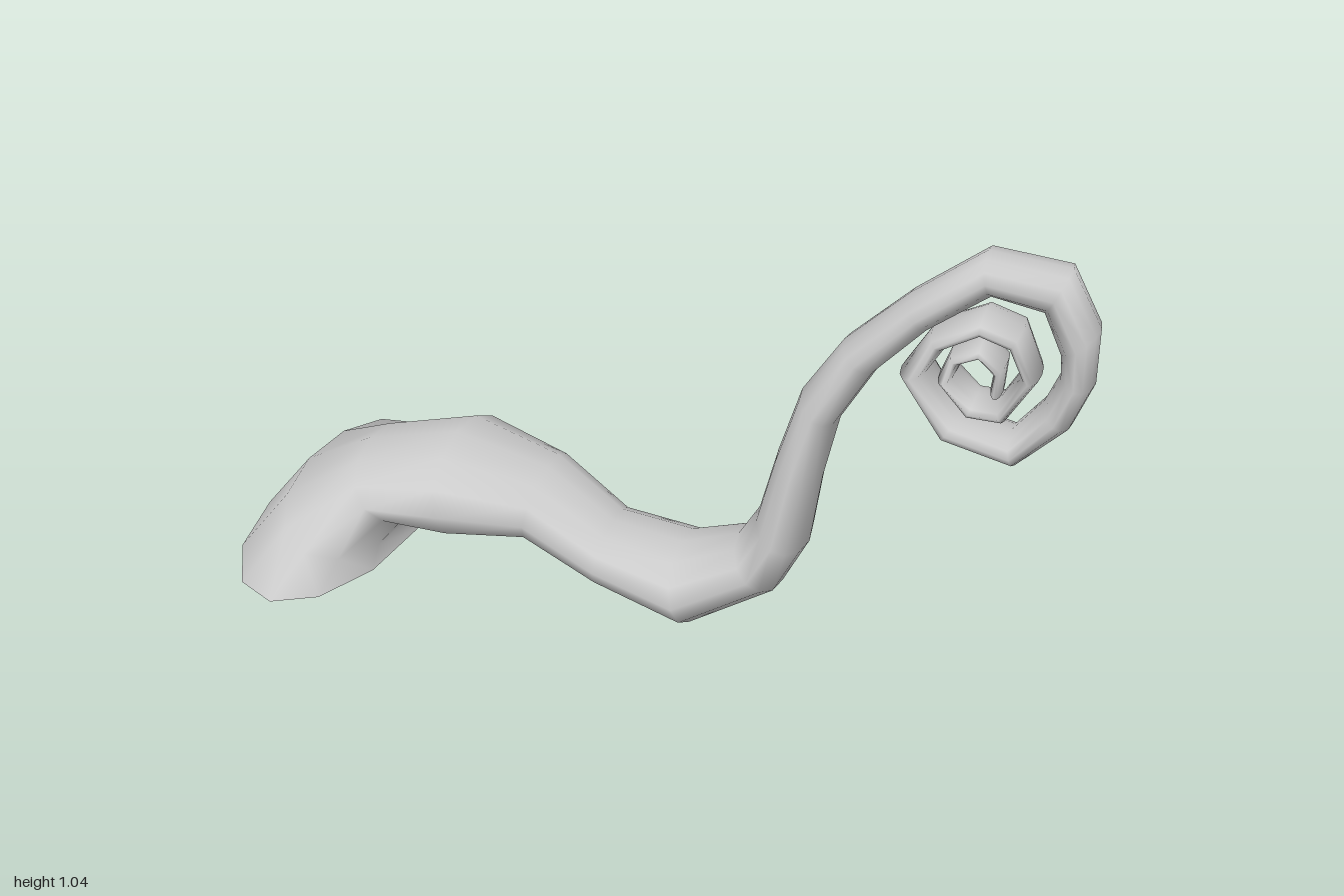
import * as THREE from 'three';

const SIDES = 12;

// Each section: outer edge x,y, inner edge x,y, half width in z
const stalk = [
  [-1.0, 0.08, -0.6, 0.08, 0.4],
  [-0.88, 0.23, -0.61, 0.12, 0.32],
  [-0.71, 0.32, -0.58, 0.16, 0.19],
  [-0.48, 0.38, -0.43, 0.157, 0.215],
  [-0.25, 0.325, -0.27, 0.167, 0.155],
  [-0.09, 0.21, -0.1, 0.07, 0.135],
  [0.08, 0.185, 0.13, 0.005, 0.158],
  [0.22, 0.235, 0.33, 0.13, 0.125],
  [0.27, 0.32, 0.39, 0.25, 0.125],
  [0.31, 0.48, 0.415, 0.43, 0.108],
  [0.36, 0.645, 0.45, 0.59, 0.095],
  [0.45, 0.785, 0.53, 0.73, 0.078],
];

// Curled tip: outer edge x,y, inner edge x,y
const curl = [
  [0.59, 0.92, 0.64, 0.85], [0.75, 1.045, 0.77, 0.95], [0.93, 1.03, 0.88, 0.93],
  [1.0, 0.9, 0.92, 0.84], [1.0, 0.77, 0.925, 0.785], [0.96, 0.665, 0.895, 0.71],
  [0.85, 0.555, 0.83, 0.625], [0.68, 0.595, 0.715, 0.65], [0.58, 0.74, 0.645, 0.755],
  [0.645, 0.85, 0.68, 0.815], [0.755, 0.905, 0.755, 0.86], [0.84, 0.88, 0.815, 0.84],
  [0.885, 0.77, 0.845, 0.78], [0.82, 0.66, 0.8, 0.7], [0.735, 0.66, 0.75, 0.7],
  [0.665, 0.74, 0.7, 0.745], [0.69, 0.81, 0.715, 0.785], [0.755, 0.835, 0.755, 0.805],
  [0.81, 0.79, 0.785, 0.775], [0.805, 0.715, 0.78, 0.735],
].map((s, i) => [...s, i < 9 ? 0.075 : 0.075 - (i - 8) * 0.0015]);

// Shrinks a section about its own centre
function shrink([ox, oy, ix, iy, w], k) {
  const cx = (ox + ix) / 2, cy = (oy + iy) / 2;
  return [cx + (ox - cx) * k, cy + (oy - cy) * k, cx + (ix - cx) * k, cy + (iy - cy) * k, w * k];
}

// Skins a run of elliptical sections
function loft(name, sections, material) {
  const pos = [], index = [];
  sections.forEach(([ox, oy, ix, iy, w], i) => {
    for (let j = 0; j < SIDES; j++) {
      const t = (j / SIDES) * Math.PI * 2, c = Math.cos(t);
      pos.push(
        (ox + ix) / 2 + ((ox - ix) / 2) * c,
        (oy + iy) / 2 + ((oy - iy) / 2) * c,
        w * Math.sin(t));
      if (i < sections.length - 1) {
        const a = i * SIDES + j, b = i * SIDES + ((j + 1) % SIDES);
        index.push(a, b, a + SIDES, b, b + SIDES, a + SIDES);
      }
    }
  });
  const geometry = new THREE.BufferGeometry();
  geometry.setAttribute('position', new THREE.Float32BufferAttribute(pos, 3));
  geometry.setIndex(index);
  geometry.computeVertexNormals();
  const mesh = new THREE.Mesh(geometry, material);
  mesh.name = name;
  return mesh;
}

export function createModel() {
  const group = new THREE.Group();
  group.name = 'curledTendril';
  const grey = new THREE.MeshStandardMaterial({ color: 0xcccccc });
  const tendril = [...stalk, ...curl];
  const base = stalk[0], tip = tendril[tendril.length - 1];

  // Outer skin from the flared mouth to the spiral tip
  group.add(loft('tendril', tendril, grey));
  group.add(loft('tipCap', [tip, shrink(tip, 0.001)], grey));

  // Flat rim round the mouth and the hollow behind it
  group.add(loft('mouthRim', [shrink(base, 0.75), base], grey));
  const hollow = [
    shrink(stalk[3], 0.001), shrink(stalk[3], 0.6), shrink(stalk[2], 0.7),
    shrink(stalk[1], 0.72), shrink(base, 0.75),
  ];
  group.add(loft('mouthHollow', hollow, grey));
  return group;
}
